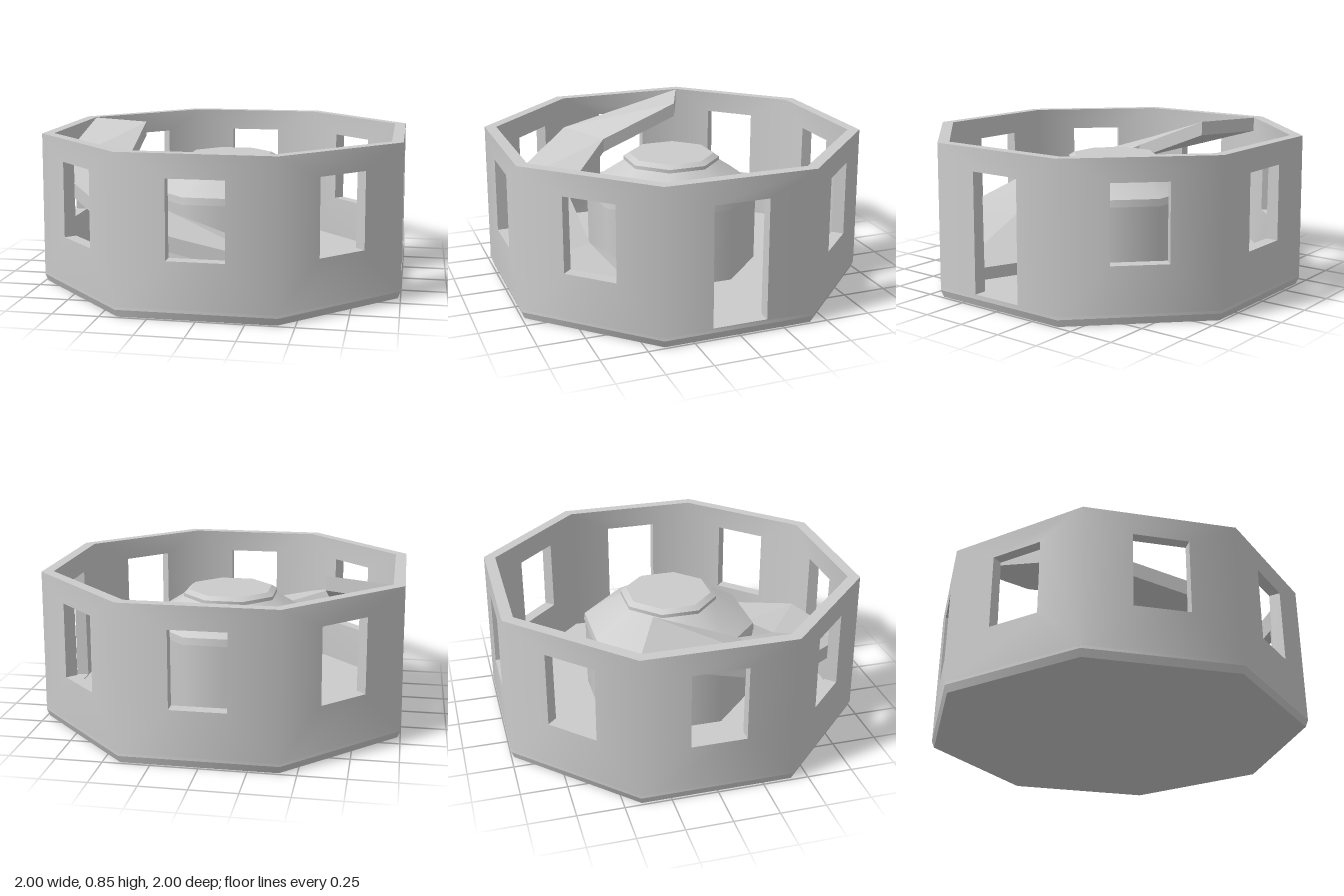
import * as THREE from 'three';

const H = 0.845, FLOOR = 0.06, OUT = 0.99, INN = 0.928, STEP = Math.PI / 4;
const K = Math.cos(Math.PI / 8); // apothem / corner radius of an octagon
const grey = new THREE.MeshStandardMaterial({ color: 0xcccccc });

function add(group, name, geometry, material = grey) {
  const mesh = new THREE.Mesh(geometry, material);
  mesh.name = name;
  group.add(mesh);
  return mesh;
}

// Octagonal frustum with flat sides facing the axes, sized by apothems
function octagon(group, name, top, bottom, y0, y1, open = false) {
  const g = new THREE.CylinderGeometry(top / K, bottom / K, y1 - y0, 8, 1, open, Math.PI / 8);
  return add(group, name, g.translate(0, (y0 + y1) / 2, 0));
}

// One side of the wall with an opening, mitred at both ends
function wallPanel(sill) {
  const half = OUT * Math.tan(Math.PI / 8), y0 = FLOOR - 0.005;
  const shape = new THREE.Shape([
    new THREE.Vector2(-half, y0), new THREE.Vector2(half, y0),
    new THREE.Vector2(half, H), new THREE.Vector2(-half, H)]);
  shape.holes.push(new THREE.Path([
    new THREE.Vector2(-0.15, sill), new THREE.Vector2(-0.15, 0.72),
    new THREE.Vector2(0.15, 0.72), new THREE.Vector2(0.15, sill)]));
  const g = new THREE.ExtrudeGeometry(shape, { depth: OUT - INN, bevelEnabled: false });
  g.translate(0, 0, INN);
  const p = g.attributes.position, n = g.attributes.normal;
  for (let i = 0; i < p.count; i++) {
    let x = p.getX(i), z = p.getZ(i);
    const y = p.getY(i);
    if (Math.abs(x) > 0.3) x *= z / OUT;
    // slight outward taper towards the base
    if (z > (OUT + INN) / 2) {
      const s = 1 + 0.01 * (1 - y / H);
      if (Math.abs(x) > 0.3) x *= s;
      z *= s;
    }
    p.setXYZ(i, x, y, z);
    // round shading across the corners
    const nz = n.getZ(i);
    if (Math.abs(nz) > 0.9) {
      const l = Math.hypot(x, z) * Math.sign(nz);
      n.setXYZ(i, x / l, 0, z / l);
    }
  }
  return g;
}

// Rising slab that follows the inside of the wall for four sides
function rampGeometry() {
  const tops = [0.13, 0.303, 0.465, 0.655, 0.842], thick = 0.082;
  const sections = tops.map((y, i) => {
    const a = STEP * (1.5 - i);
    const at = (apothem, h) => [Math.sin(a) * apothem / K, h, Math.cos(a) * apothem / K];
    return [at(0.93, y), at(0.565, y), at(0.565, y - thick), at(0.93, y - thick)];
  });
  const verts = [];
  const quad = (a, b, c, d) => verts.push(...a, ...b, ...c, ...a, ...c, ...d);
  for (let i = 0; i < 4; i++) {
    const s = sections[i], t = sections[i + 1];
    for (let j = 0; j < 4; j++) {
      const k = (j + 1) % 4;
      quad(s[j], s[k], t[k], t[j]);
    }
  }
  const [first, last] = [sections[0], sections[4]];
  quad(first[3], first[2], first[1], first[0]);
  quad(last[0], last[1], last[2], last[3]);
  const g = new THREE.BufferGeometry();
  g.setAttribute('position', new THREE.Float32BufferAttribute(verts, 3));
  g.computeVertexNormals();
  return g;
}

export function createModel() {
  const model = new THREE.Group();
  model.name = 'octagonalRoom';

  // Floor slab with a chamfered lower edge
  octagon(model, 'floorChamfer', 1.0, 0.985, 0, 0.04);
  octagon(model, 'floor', 0.999, 1.0, 0.04, FLOOR);

  // Eight wall sides: a door on +x, windows elsewhere
  const walls = new THREE.Group();
  walls.name = 'walls';
  model.add(walls);
  const windowPanel = wallPanel(0.305), doorPanel = wallPanel(0.065);
  for (let i = 0; i < 8; i++) {
    const door = i === 2;
    const panel = add(walls, door ? 'doorWall' : 'windowWall', door ? doorPanel : windowPanel);
    panel.rotation.y = i * STEP;
  }

  // Central pedestal: column, rim, sloping roof and bevelled cap
  const pedestal = new THREE.Group();
  pedestal.name = 'pedestal';
  model.add(pedestal);
  octagon(pedestal, 'column', 0.453, 0.453, FLOOR, 0.49, true);
  octagon(pedestal, 'rim', 0.455, 0.46, 0.48, 0.52);
  octagon(pedestal, 'slope', 0.235, 0.455, 0.52, 0.67, true);
  octagon(pedestal, 'capEdge', 0.255, 0.255, 0.66, 0.68);
  octagon(pedestal, 'cap', 0.225, 0.255, 0.68, 0.7);

  add(model, 'ramp', rampGeometry());
  return model;
}
